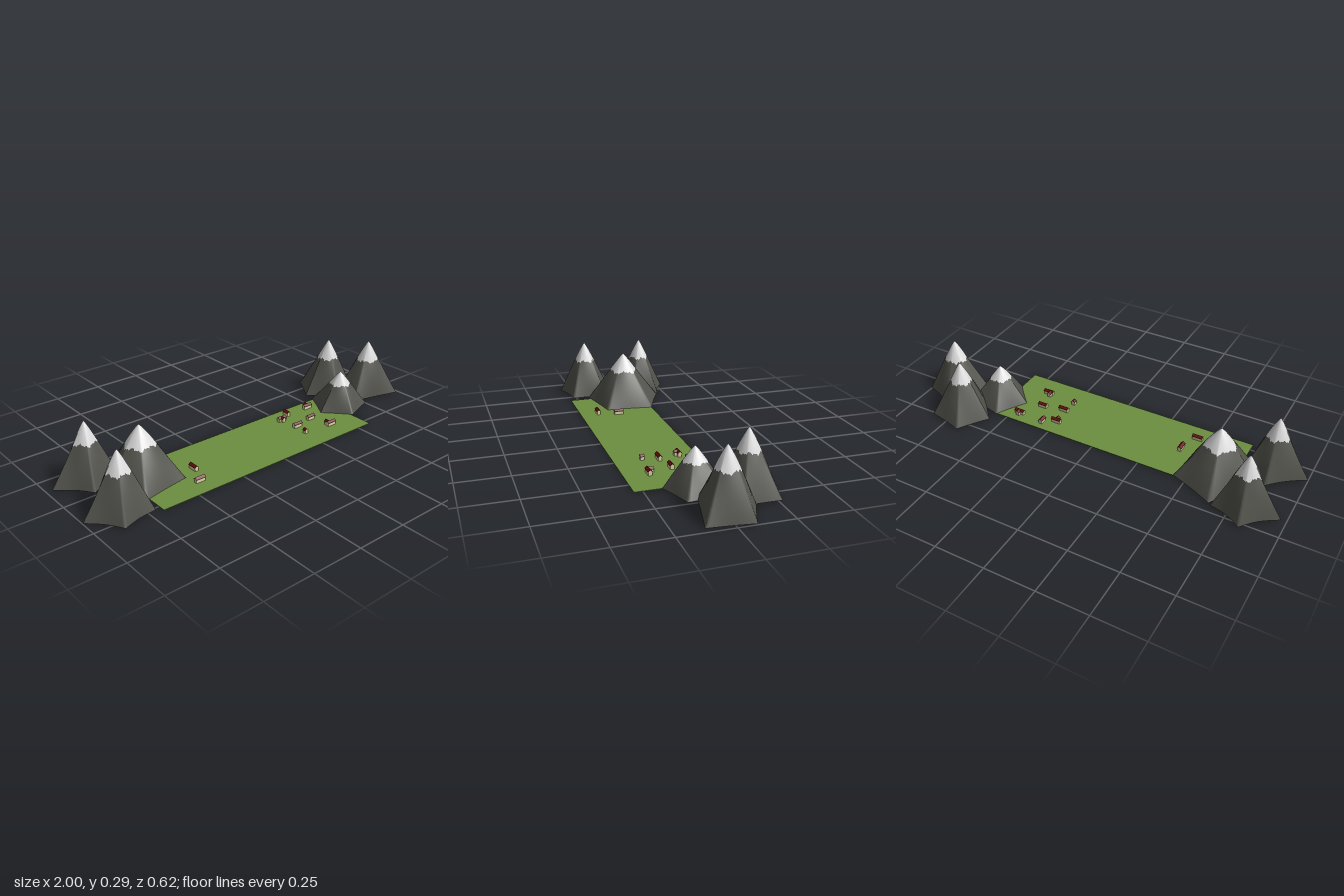
import * as THREE from 'three';

const mat = (name, color) => {
  const m = new THREE.MeshStandardMaterial({ color });
  m.name = name;
  return m;
};

export function createModel() {
  const model = new THREE.Group();
  model.name = 'mountainValley';
  const grass = mat('grass', 0x6c8e40);
  const rock = mat('rock', 0x54544e);
  const snow = mat('snow', 0xdcdcdc);
  const wall = mat('wall', 0xdfd8a6);
  const roofRed = mat('roof', 0x6b0c0a);

  const add = (parent, name, geometry, material) => {
    const mesh = new THREE.Mesh(geometry, material);
    mesh.name = name;
    parent.add(mesh);
    return mesh;
  };

  // Valley floor
  add(model, 'meadow', new THREE.BoxGeometry(1.267, 0.003, 0.394), grass)
    .position.set(-0.053, 0.0015, 0.093);

  // Mountains: round at the summit, five-cornered at the foot
  const BASE = 0.0045, SEG = 80;
  function mountain(name, ax, az, height, corners, hollow, seed) {
    const group = new THREE.Group();
    group.name = name;
    group.position.set(ax, BASE, az);
    model.add(group);
    const pts = corners.map(([x, z]) => new THREE.Vector2(x - ax, z - az)).reverse();
    const radius = 0.92 * pts.reduce((s, p) => s + p.length(), 0) / pts.length;

    // Point on the foot outline, u from 0 to 1
    const foot = (u) => {
      const s = (u % 1) * pts.length, i = Math.floor(s), k = s - i;
      return pts[i].clone().lerp(pts[(i + 1) % pts.length], k)
        .multiplyScalar(1 - hollow * Math.sin(Math.PI * k));
    };
    // Point on the slope, t from 0 at the summit to 1 at the foot
    const slope = (u, t) => {
      const p = foot(u);
      const round = p.clone().setLength(radius);
      const q = round.lerp(p, t).multiplyScalar(Math.pow(t, 0.9));
      return new THREE.Vector3(q.x, (height - BASE) * (1 - t), q.y);
    };
    // Ragged snow line
    const snowLine = (u) => {
      const a = u * Math.PI * 2;
      return 0.35 + 0.018 * Math.sin(5 * a + seed) + 0.012 * Math.sin(13 * a + 2 * seed)
        + 0.01 * Math.sin(29 * a + 3 * seed);
    };
    const band = (from, to, rows) => {
      const geo = new THREE.PlaneGeometry(1, 1, SEG, rows);
      const pos = geo.attributes.position;
      for (let i = 0; i < pos.count; i++) {
        const u = Math.min(1, Math.max(0, pos.getX(i) + 0.5));
        const v = 0.5 - pos.getY(i);
        const p = slope(u, THREE.MathUtils.lerp(from(u), to(u), v));
        pos.setXYZ(i, p.x, p.y, p.z);
      }
      geo.computeVertexNormals();
      return geo;
    };
    add(group, 'snowCap', band(() => 0.002, snowLine, 8), snow);
    add(group, 'rockSlope', band(snowLine, () => 1, 14), rock);
    const outline = Array.from({ length: SEG }, (_, i) => foot(i / SEG));
    add(group, 'underside', new THREE.ShapeGeometry(new THREE.Shape(outline)).rotateX(Math.PI / 2), rock);
  }

  mountain('leftPeakBack', -0.8, -0.137, 0.295,
    [[-0.826, -0.28], [-0.666, -0.21], [-0.68, -0.07], [-0.84, -0.01], [-0.976, -0.147]], 0.1, 1);
  mountain('leftPeakInner', -0.612, 0.006, 0.272,
    [[-0.655, -0.2], [-0.436, -0.104], [-0.463, 0.136], [-0.703, 0.184], [-0.81, 0.024]], 0.02, 2);
  mountain('leftPeakFront', -0.826, 0.176, 0.295,
    [[-0.837, 0.033], [-0.7, 0.083], [-0.714, 0.27], [-0.885, 0.308], [-1, 0.165]], 0.08, 3);
  mountain('rightPeakBack', 0.72, -0.16, 0.295,
    [[0.66, -0.312], [0.842, -0.265], [0.842, -0.09], [0.68, -0.03], [0.564, -0.163]], 0.02, 4);
  mountain('rightPeakOuter', 0.869, -0.005, 0.295,
    [[0.85, -0.145], [1, -0.083], [0.976, 0.125], [0.714, 0.06], [0.72, -0.09]], 0.02, 5);
  mountain('rightPeakInner', 0.618, 0.035, 0.197,
    [[0.56, -0.11], [0.74, -0.07], [0.745, 0.11], [0.585, 0.168], [0.473, 0.045]], 0.02, 6);

  // Cottages: gabled walls with an overhanging chevron roof
  const W = 0.009, EAVE = 0.018, RIDGE = 0.026;
  const extrude = (points, depth) => new THREE.ExtrudeGeometry(
    new THREE.Shape(points.map(([x, y]) => new THREE.Vector2(x, y))),
    { depth, bevelEnabled: false }).translate(0, 0, -depth / 2);

  function gabled(parent, x, z, length, alongZ) {
    const g = new THREE.Group();
    g.name = 'wing';
    g.position.set(x, 0, z);
    if (!alongZ) g.rotation.y = Math.PI / 2;
    parent.add(g);
    add(g, 'walls', extrude([[-W, 0], [W, 0], [W, EAVE], [0, RIDGE], [-W, EAVE]], length), wall);
    const o = W + 0.002, e = EAVE - 0.0018;
    add(g, 'roof', extrude([[-o, e], [0, RIDGE], [o, e], [o, e + 0.002],
      [0, RIDGE + 0.002], [-o, e + 0.002]], length + 0.003), roofRed);
  }

  // x, z, length, ridge along z, optional side wing offset [dx, dz]
  const cottages = [
    [0.254, -0.018, 0.048, false, [-0.002, 0.01]],
    [0.318, -0.051, 0.036, true],
    [0.457, -0.043, 0.05, false, [0.002, -0.012]],
    [0.382, 0.061, 0.045, false],
    [0.27, 0.083, 0.05, false],
    [0.254, 0.158, 0.018, true],
    [0.416, 0.175, 0.05, false, [-0.012, -0.014]],
    [-0.388, 0.094, 0.048, true],
    [-0.43, 0.198, 0.05, false],
  ];
  for (const [x, z, length, alongZ, wing] of cottages) {
    const cottage = new THREE.Group();
    cottage.name = 'cottage';
    cottage.position.set(x, 0.003, z);
    model.add(cottage);
    gabled(cottage, 0, 0, length, alongZ);
    if (wing) gabled(cottage, wing[0], wing[1], 0.022, !alongZ);
  }

  return model;
}
